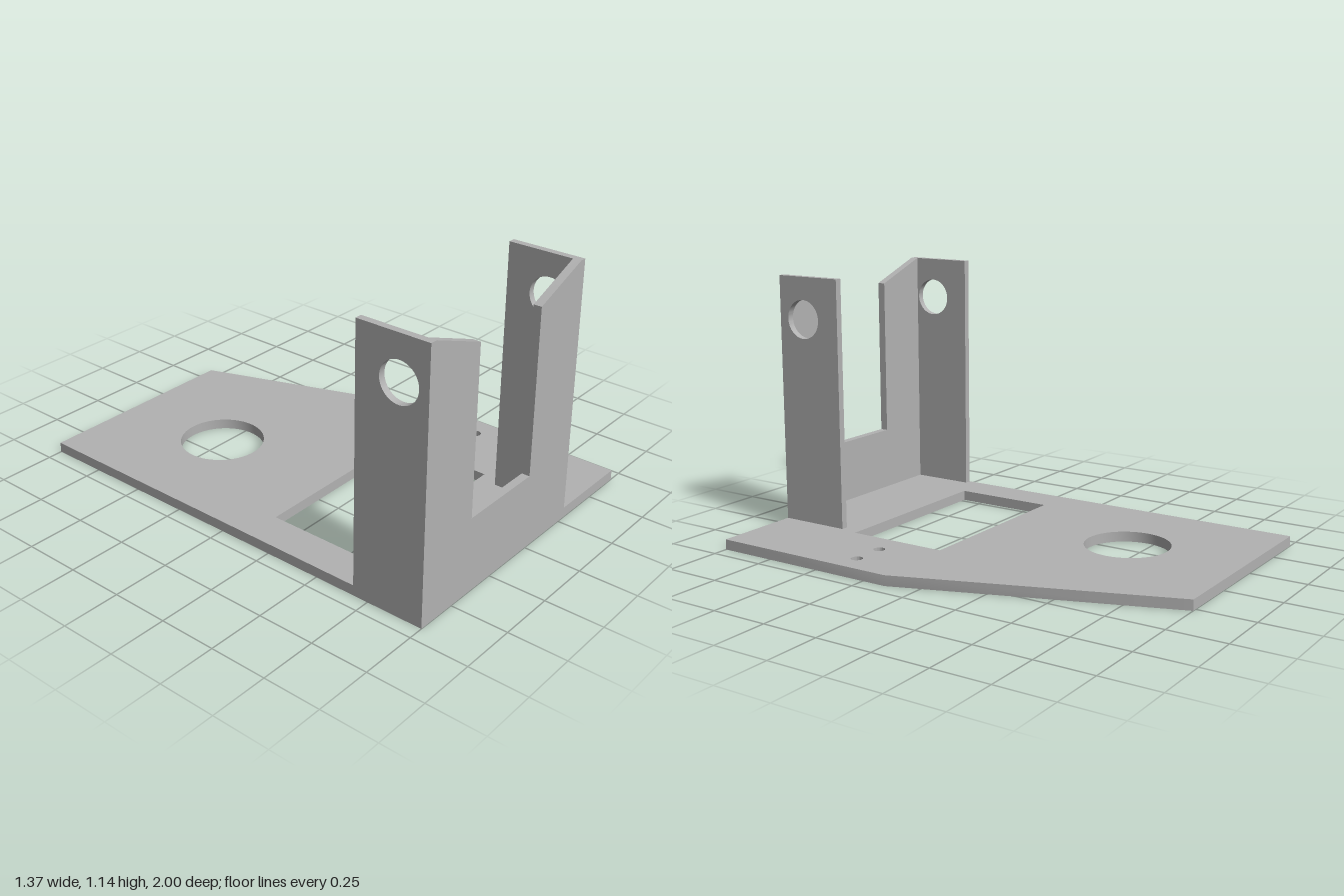
import * as THREE from 'three';
import { toCreasedNormals } from 'three/addons/utils/BufferGeometryUtils.js';

const outline = (pts) => pts.map(([x, y]) => new THREE.Vector2(x, y));

// Flat sheet with cut-outs, extruded along +z
function sheet(pts, depth, circles = [], polygons = []) {
  const shape = new THREE.Shape(outline(pts));
  for (const [x, y, r] of circles) {
    shape.holes.push(new THREE.Path().absarc(x, y, r, 0, Math.PI * 2, true));
  }
  for (const p of polygons) shape.holes.push(new THREE.Path(outline(p)));
  const geo = new THREE.ExtrudeGeometry(shape, { depth, bevelEnabled: false, curveSegments: 32 });
  return toCreasedNormals(geo, 0.5);
}

export function createModel() {
  const group = new THREE.Group();
  group.name = 'mountingBracket';
  const grey = new THREE.MeshStandardMaterial({ name: 'plain grey', color: 0xb2b2b2 });
  const add = (name, geo) => {
    const mesh = new THREE.Mesh(geo, grey);
    mesh.name = name;
    group.add(mesh);
  };

  const T = 0.045, W = 0.683, TOP = 1.14, RIGHT = 0.292, WALL = 0.03, FRONT = 0.035;

  // Base plate, drawn as (x, -z) and laid flat
  const base = sheet(
    [[-W, -1], [W, -1], [W, -0.14], [0.27, 1], [-W, 1]], T,
    [[-0.195, 0.47, 0.185], [0.432, -0.365, 0.025], [0.578, -0.365, 0.025]],
    [[[-0.52, -0.6], [-0.52, -0.145], [0.305, -0.145], [0.305, -0.6]]]
  );
  base.rotateX(-Math.PI / 2);
  add('basePlate', base);

  // U-shaped front wall with sloping shoulders
  const front = sheet([
    [-W, T], [RIGHT, T], [RIGHT, TOP], [RIGHT - WALL, TOP], [0, 1.04], [0, 0.327],
    [-0.39, 0.327], [-0.39, 1.04], [-W + WALL, TOP], [-W, TOP],
  ], FRONT);
  front.translate(0, 0, 1 - FRONT);
  add('frontWall', front);

  // Two side flanges with pivot holes, drawn as (z, y)
  for (const [name, outer] of [['rightFlange', -W + WALL], ['leftFlange', RIGHT]]) {
    const flange = sheet(
      [[0.682, T], [1 - FRONT, T], [1 - FRONT, TOP], [0.682, TOP]], WALL,
      [[0.872, 0.955, 0.085]]
    );
    flange.rotateY(-Math.PI / 2);
    flange.translate(outer, 0, 0);
    add(name, flange);
  }
  return group;
}
